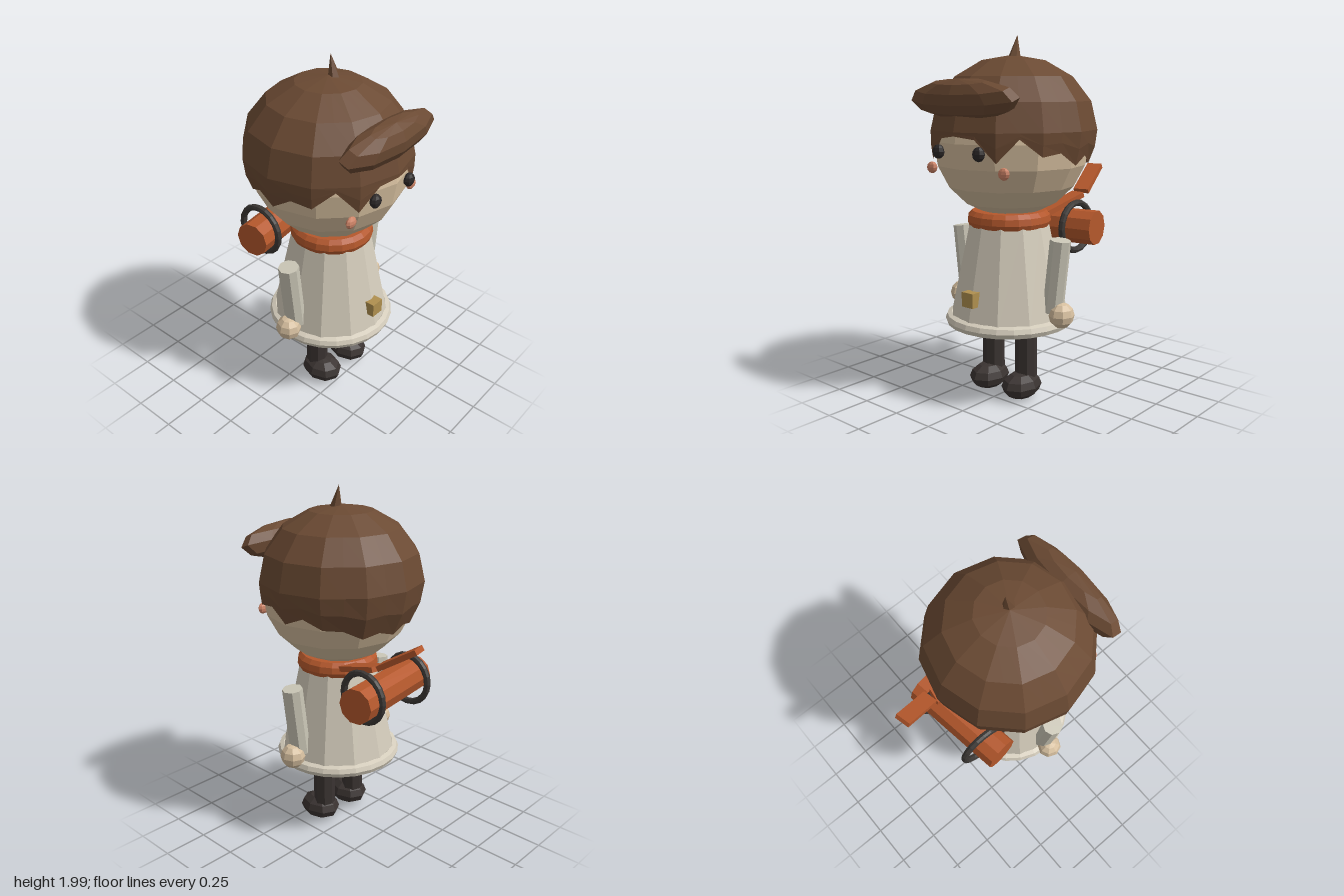
import * as THREE from 'three';

const mat = (color, side = THREE.FrontSide) =>
  new THREE.MeshStandardMaterial({ color, flatShading: true, side });

const hairMat = mat(0x6b4a33, THREE.DoubleSide);
const skinMat = mat(0xd6bf9f);
const coatMat = mat(0xd4ccbb, THREE.DoubleSide);
const sleeveMat = mat(0xcac6b6);
const rustMat = mat(0xb5582c);
const darkMat = mat(0x3a3331);
const eyeMat = mat(0x2c2828);
const strapMat = mat(0x3c3835);
const cheekMat = mat(0xd08568);
const badgeMat = mat(0xb0904f);

const BODY_Z = 0.115;
const HEAD = { y: 1.44, z: 0.1, r: 0.43, ry: 0.42 };
const HAIR = { y: 1.5, z: 0.08, r: 0.46, ry: 0.396 };

// Height of the jagged hair edge, from the front round to the back in 15 degree steps
const HAIR_EDGE = [1.48, 1.465, 1.35, 1.47, 1.38, 1.395, 1.325, 1.37, 1.32, 1.31, 1.26, 1.28, 1.25];

const ellipseRadius = (e, y) => e.r * Math.sqrt(Math.max(0, 1 - ((y - e.y) / e.ry) ** 2));

// Twelve-sided hair cap with a zigzag hem that hugs the head
function hairGeometry() {
  const cols = 24, rows = 6, pos = [], idx = [];
  for (let i = 0; i <= rows; i++) {
    for (let j = 0; j < cols; j++) {
      const phi = (j / cols) * Math.PI * 2;
      const edge = HAIR_EDGE[Math.min(j, cols - j)];
      const mid = (HAIR.y + edge) / 2;
      const y = i <= 4 ? HAIR.y + HAIR.ry * Math.cos((i * Math.PI) / 8) : i === 5 ? mid : edge;
      let r = ellipseRadius(HAIR, y);
      if (i > 4) r = Math.max(r, ellipseRadius(HEAD, y) + 0.012 + 0.02 * Math.cos(phi));
      if (j % 2) r *= Math.cos(Math.PI / 12);
      pos.push(r * Math.sin(phi), y, HAIR.z + r * Math.cos(phi));
    }
  }
  for (let i = 0; i < rows; i++) {
    for (let j = 0; j < cols; j++) {
      const a = i * cols + j, b = i * cols + ((j + 1) % cols);
      idx.push(a, a + cols, b + cols, a, b + cols, b);
    }
  }
  const g = new THREE.BufferGeometry();
  g.setAttribute('position', new THREE.Float32BufferAttribute(pos, 3));
  g.setIndex(idx);
  g.computeVertexNormals();
  return g;
}

export function createModel() {
  const model = new THREE.Group();
  model.name = 'figure';

  const add = (name, geometry, material, x = 0, y = 0, z = 0) => {
    const mesh = new THREE.Mesh(geometry, material);
    mesh.name = name;
    mesh.position.set(x, y, z);
    model.add(mesh);
    return mesh;
  };
  const ball = (name, material, x, y, z, sx, sy, sz, w = 8, h = 6) => {
    const mesh = add(name, new THREE.SphereGeometry(1, w, h), material, x, y, z);
    mesh.scale.set(sx, sy, sz);
    return mesh;
  };
  // Flat strip of cloth between two points
  const strip = (name, from, to) => {
    const a = new THREE.Vector3(...from), b = new THREE.Vector3(...to);
    const mesh = add(name, new THREE.BoxGeometry(0.09, 0.03, a.distanceTo(b)), rustMat);
    mesh.position.copy(a).add(b).multiplyScalar(0.5);
    mesh.lookAt(b);
  };

  // Head and hair
  ball('head', skinMat, 0, HEAD.y, HEAD.z, HEAD.r, HEAD.ry, HEAD.r, 12, 10);
  add('hair', hairGeometry(), hairMat);
  const quiff = ball('fringeRoll', hairMat, 0, 1.665, 0.467, 0.373, 0.106, 0.1, 10, 6);
  quiff.geometry.rotateY(Math.PI / 10);
  quiff.rotation.x = 0.35;
  const tuft = add('hairTuft', new THREE.ConeGeometry(0.036, 0.13, 6), hairMat, 0.025, 1.936, 0.085);
  tuft.rotation.x = -0.2;

  // Coat, hem, scarf and badge
  add('coat', new THREE.CylinderGeometry(0.22, 0.337, 0.55, 12, 1, true), coatMat, 0, 0.725, BODY_Z);
  const hem = add('coatHem', new THREE.TorusGeometry(0.325, 0.035, 8, 24), coatMat, 0, 0.45, BODY_Z);
  hem.rotation.x = Math.PI / 2;
  const scarfProfile = [[0.17, 0.975], [0.222, 0.975], [0.232, 1.0], [0.226, 1.035], [0.205, 1.058], [0.15, 1.058]]
    .map(([r, y]) => new THREE.Vector2(r, y));
  add('scarf', new THREE.LatheGeometry(scarfProfile, 20), rustMat, 0, 0, BODY_Z);
  strip('scarfTailUpper', [0.11, 1.03, -0.05], [0.15, 1.11, -0.325]);
  strip('scarfTailLower', [0.155, 1.125, -0.345], [0.105, 1.255, -0.555]);
  add('badge', new THREE.BoxGeometry(0.08, 0.08, 0.08), badgeMat, 0, 0.61, 0.415);

  // Mirrored parts
  for (const [side, s] of [['left', 1], ['right', -1]]) {
    ball(side + 'Eye', eyeMat, s * 0.143, 1.395, 0.507, 0.037, 0.038, 0.027);
    ball(side + 'Cheek', cheekMat, s * 0.257, 1.3, 0.447, 0.037, 0.032, 0.02);

    const arm = add(side + 'Arm', new THREE.CylinderGeometry(0.057, 0.057, 0.4, 8), sleeveMat, s * 0.335, 0.732, BODY_Z);
    arm.rotation.z = -s * 0.12;
    ball(side + 'Hand', skinMat, s * 0.37, 0.522, BODY_Z, 0.068, 0.07, 0.073);

    add(side + 'Leg', new THREE.CylinderGeometry(0.063, 0.063, 0.4, 8), darkMat, s * 0.122, 0.28, BODY_Z);
    ball(side + 'Shoe', darkMat, s * 0.122, 0.08, 0.153, 0.1, 0.075, 0.128);

    const strap = add(side + 'RollStrap', new THREE.TorusGeometry(0.138, 0.019, 8, 20), strapMat, s * 0.19, 0.932, -0.253);
    strap.rotation.y = Math.PI / 2;
  }

  // Rolled bundle carried on the back
  const roll = add('bedroll', new THREE.CylinderGeometry(0.1, 0.1, 0.61, 10), rustMat, 0, 0.93, -0.257);
  roll.rotation.set(0, 0.14, Math.PI / 2, 'YXZ');

  return model;
}
